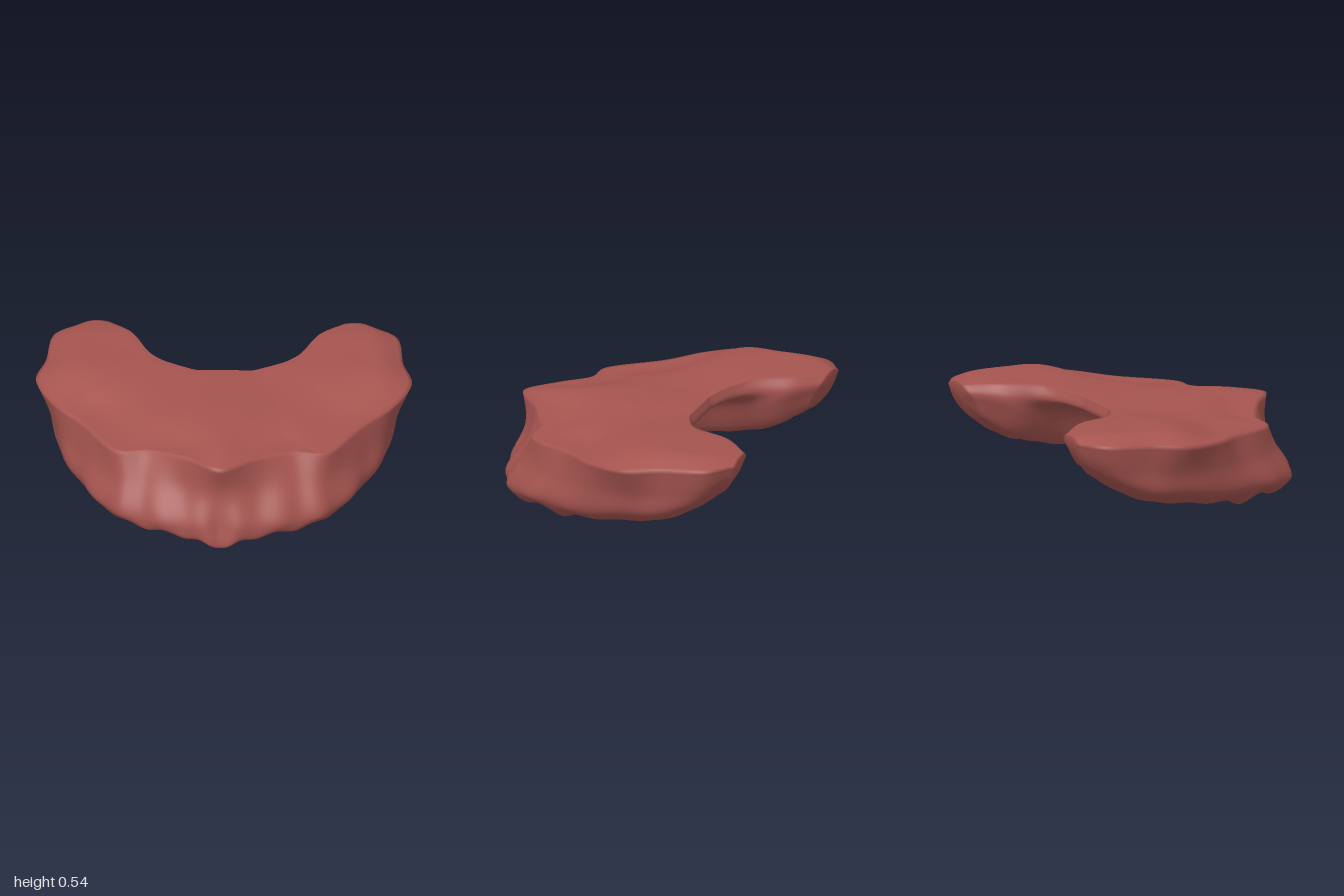
import * as THREE from 'three';

const STATIONS = 9; // rail stations from the middle to the back tip of one side

// Rails of the left half, [x, y, z] from the middle of the front to the back tip.
const rails = {
  innerEdge: [[0, .5, -.275], [.05, .5, -.275], [.1, .5, -.275], [.15, .5, -.275], [.21, .505, -.295],
    [.27, .51, -.32], [.34, .515, -.36], [.41, .525, -.43], [.5, .53, -.62], [.63, .51, -.77]],
  topMiddle: [[0, .5, .35], [.12, .495, .29], [.24, .485, .22], [.36, .48, .14], [.48, .49, 0],
    [.62, .515, -.12], [.73, .535, -.25], [.71, .535, -.42], [.7, .535, -.62], [.68, .515, -.772]],
  topShelf: [[0, .48, .58], [.16, .455, .47], [.34, .435, .38], [.48, .43, .35], [.62, .44, .13],
    [.78, .47, -.02], [.86, .515, -.2], [.83, .532, -.4], [.81, .532, -.62], [.73, .51, -.772]],
  topEdge: [[0, .455, .725], [.18, .455, .595], [.38, .43, .48], [.57, .42, .46], [.74, .435, .2],
    [.9, .45, .02], [1, .465, -.2], [.95, .48, -.4], [.915, .49, -.65], [.78, .49, -.772]],
  upperWall: [[0, .3, .7], [.2, .3, .63], [.4, .3, .56], [.57, .29, .5], [.75, .28, .24],
    [.88, .3, .02], [.93, .31, -.2], [.92, .33, -.4], [.89, .37, -.62], [.77, .42, -.75]],
  lowerWall: [[0, .12, .74], [.2, .12, .735], [.41, .12, .665], [.59, .12, .57], [.73, .13, .34],
    [.84, .14, .08], [.89, .18, -.15], [.9, .21, -.38], [.85, .28, -.58], [.74, .36, -.72]],
  rim: [[0, .012, .75], [.18, .045, .725], [.38, .055, .655], [.54, .055, .525], [.63, .06, .3],
    [.75, .08, .06], [.79, .11, -.16], [.79, .14, -.36], [.75, .21, -.53], [.68, .305, -.67]],
  innerRim: [[0, .08, .63], [.15, .08, .61], [.3, .08, .54], [.43, .08, .41], [.51, .09, .22],
    [.56, .11, .02], [.57, .14, -.18], [.55, .18, -.36], [.52, .24, -.52], [.58, .34, -.68]],
  vault: [[0, .3, .38], [.1, .3, .37], [.2, .31, .32], [.28, .32, .22], [.36, .33, .08],
    [.42, .34, -.07], [.46, .34, -.2], [.45, .35, -.37], [.45, .38, -.55], [.57, .42, -.72]],
  palate: [[0, .43, -.285], [.05, .43, -.285], [.1, .43, -.285], [.15, .43, -.285], [.205, .435, -.305],
    [.265, .44, -.33], [.335, .44, -.37], [.4, .45, -.45], [.46, .465, -.61], [.585, .475, -.755]],
};

// Mirror half a rail into one smooth curve from the right tip to the left tip.
function fullRail(half) {
  const left = half.map(p => new THREE.Vector3(...p));
  const right = half.slice(1).reverse().map(([x, y, z]) => new THREE.Vector3(-x, y, z));
  return new THREE.CatmullRomCurve3([...right, ...left], false, 'catmullrom', 0.5);
}

const bump = (s, at, width) => Math.exp(-(((s - at) / width) ** 2));

// Closed cross-section at t: a top sheet, then the wall, rim and vault below it.
function section(curves, t) {
  const p = {};
  for (const name in curves) p[name] = curves[name].getPoint(t);
  const s = Math.abs(t * 2 - 1) * STATIONS;
  const fade = 1 - .75 * THREE.MathUtils.smoothstep(s, 3, 6);
  const tip = 1 - THREE.MathUtils.smoothstep(s, 7.5, 9);
  const gap = Math.cos(s * Math.PI * 2 / 1.05) * fade * tip; // 1 between sockets, -1 at a socket

  // Scalloped rim and gentle root bulges on the wall
  const outward = p.lowerWall.clone().sub(p.innerRim).setY(0).normalize();
  p.rim.y -= gap * .011 + bump(s, 4.2, .28) * .025;
  p.rim.addScaledVector(outward, bump(s, .3, .3) * .025);
  p.lowerWall.addScaledVector(outward, bump(s, .3, .3) * .015 - gap * .008);
  p.upperWall.addScaledVector(outward, -gap * .005);
  p.innerRim.y -= gap * .007;
  const socket = p.rim.clone().lerp(p.innerRim, .5);
  socket.y += .008 - gap * .012;

  const top = new THREE.CatmullRomCurve3([p.innerEdge, p.topMiddle, p.topShelf, p.topEdge]);
  const under = new THREE.CatmullRomCurve3([p.topEdge, p.upperWall, p.lowerWall, p.rim,
    socket, p.innerRim, p.vault, p.palate, p.innerEdge]);
  return [...top.getPoints(18).slice(0, -1), ...under.getPoints(56).slice(0, -1)];
}

// Skin the cross-sections and close both back tips.
function gumGeometry() {
  const curves = {};
  for (const name in rails) curves[name] = fullRail(rails[name]);
  const steps = STATIONS * 2 * 9;
  const positions = [], index = [];
  const rings = [];
  for (let i = 0; i <= steps; i++) {
    const ring = section(curves, i / steps);
    rings.push(ring);
    ring.forEach(v => positions.push(v.x, v.y, v.z));
  }
  const count = rings[0].length;
  for (let i = 0; i < steps; i++) {
    for (let j = 0; j < count; j++) {
      const k = (j + 1) % count;
      const a = i * count + j, b = i * count + k;
      index.push(a, b, b + count, a, b + count, a + count);
    }
  }
  for (const i of [0, steps]) {
    const centre = new THREE.Vector3();
    rings[i].forEach(v => centre.addScaledVector(v, 1 / count));
    centre.z -= .02;
    const c = positions.length / 3;
    positions.push(centre.x, centre.y, centre.z);
    for (let j = 0; j < count; j++) {
      const a = i * count + j, b = i * count + (j + 1) % count;
      if (i === 0) index.push(b, a, c);
      else index.push(a, b, c);
    }
  }
  const geometry = new THREE.BufferGeometry();
  geometry.setAttribute('position', new THREE.Float32BufferAttribute(positions, 3));
  geometry.setIndex(index);
  geometry.computeVertexNormals();
  return geometry;
}

export function createModel() {
  const group = new THREE.Group();
  group.name = 'upperGum';
  const gumRed = new THREE.MeshStandardMaterial({ color: 0xa5544f });
  gumRed.name = 'gumRed';
  const gum = new THREE.Mesh(gumGeometry(), gumRed);
  gum.name = 'gumAndPalate';
  // Stand the lowest rim point on the ground
  gum.geometry.computeBoundingBox();
  gum.position.y = -gum.geometry.boundingBox.min.y;
  group.add(gum);
  return group;
}
